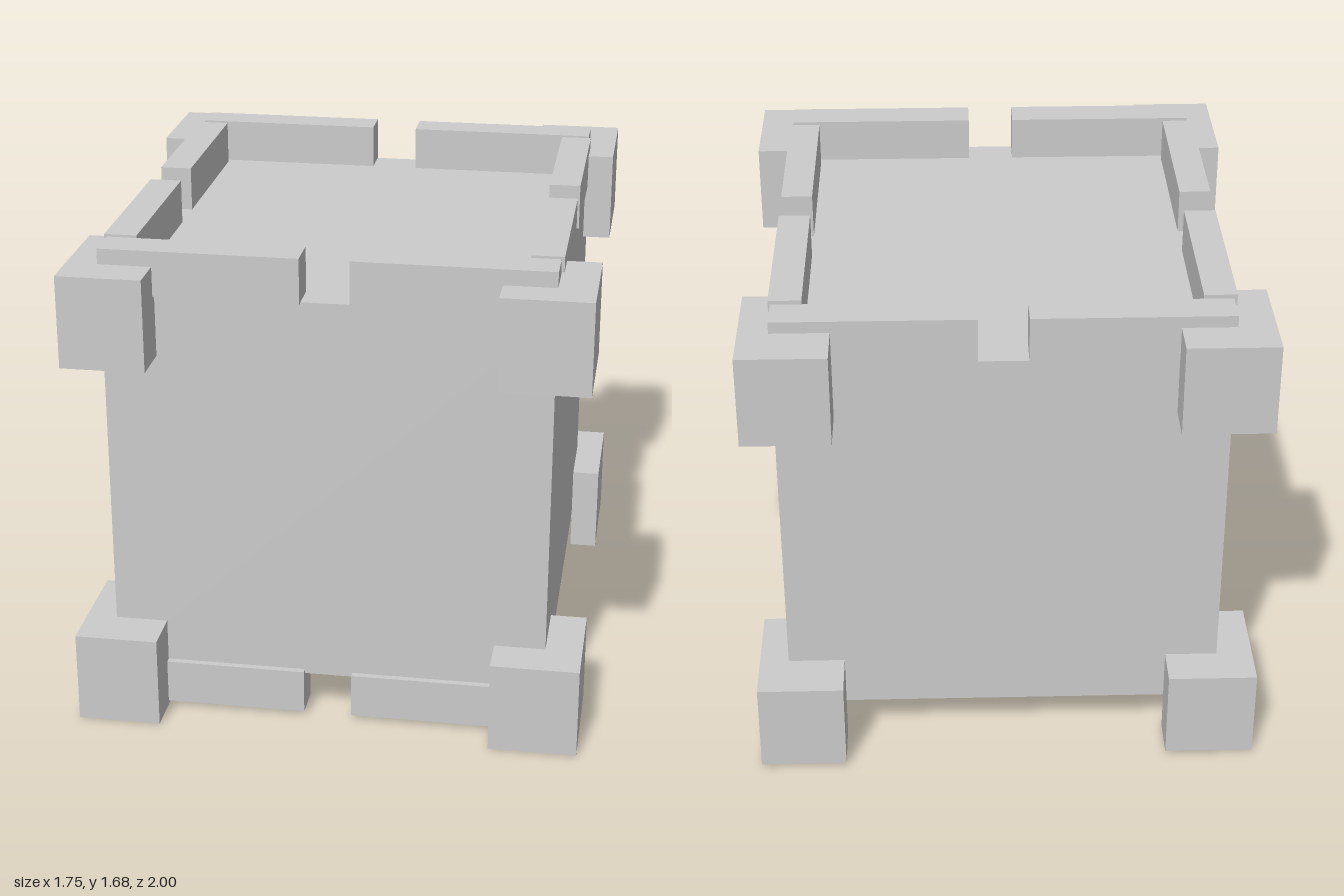
import * as THREE from 'three';

const material = new THREE.MeshStandardMaterial({ color: 0xcccccc, flatShading: true });

// Box given by its lower and upper limits on each axis
function addBox(parent, name, [x0, x1], [y0, y1], [z0, z1]) {
  const mesh = new THREE.Mesh(new THREE.BoxGeometry(x1 - x0, y1 - y0, z1 - z0), material);
  mesh.position.set((x0 + x1) / 2, (y0 + y1) / 2, (z0 + z1) / 2);
  mesh.name = name;
  parent.add(mesh);
}

// L-shaped bracket wrapped round a vertical edge of the body
function addBracket(parent, name, [xIn, xBody, xOut], [zIn, zBody, zOut], [y0, y1]) {
  const shape = new THREE.Shape([
    [xIn, zBody], [xIn, zOut], [xOut, zOut], [xOut, zIn], [xBody, zIn], [xBody, zBody],
  ].map(([x, z]) => new THREE.Vector2(x, z)));
  const geometry = new THREE.ExtrudeGeometry(shape, { depth: y1 - y0, bevelEnabled: false });
  geometry.rotateX(Math.PI / 2).translate(0, y1, 0);
  const mesh = new THREE.Mesh(geometry, material);
  mesh.name = name;
  parent.add(mesh);
}

export function createModel() {
  const model = new THREE.Group();
  model.name = 'crate';

  addBox(model, 'body', [-0.75, 0.745], [0.155, 1.525], [-0.83, 0.843]);

  // Corner brackets: inner end, body face and outer face along x and z
  const corners = [
    ['frontLeft', [0.57, 0.745, 0.87], [0.597, 0.843, 0.985], 0],
    ['frontRight', [-0.57, -0.75, -0.855], [0.58, 0.843, 1], 0],
    ['backLeft', [0.55, 0.745, 0.845], [-0.583, -0.83, -1], 0.013],
    ['backRight', [-0.57, -0.75, -0.875], [-0.583, -0.83, -0.97], 0.013],
  ];
  for (const [name, x, z, lift] of corners) {
    addBracket(model, name + 'TopBracket', x, z, [1.31 + lift, 1.627 + lift]);
    addBracket(model, name + 'BottomBracket', x, z, [lift, 0.32 + lift]);
  }

  // Raised rim on the lid, two bars to each side
  const rimY = [1.523, 1.68];
  const spansX = [[-0.75, -0.085], [0.08, 0.745]];
  const spansZ = [[-0.69, -0.065], [0.087, 0.715]];
  for (const span of spansX) {
    addBox(model, 'frontRimBar', span, rimY, [0.74, 0.865]);
    addBox(model, 'backRimBar', span, rimY, [-0.835, -0.715]);
    // Matching skirt bars along the bottom of the front
    addBox(model, 'frontSkirtBar', span, [0.014, 0.17], [0.74, 0.865]);
  }
  for (const span of spansZ) {
    addBox(model, 'leftRimBar', [0.645, 0.754], rimY, span);
    addBox(model, 'rightRimBar', [-0.765, -0.655], rimY, span);
  }
  return model;
}
